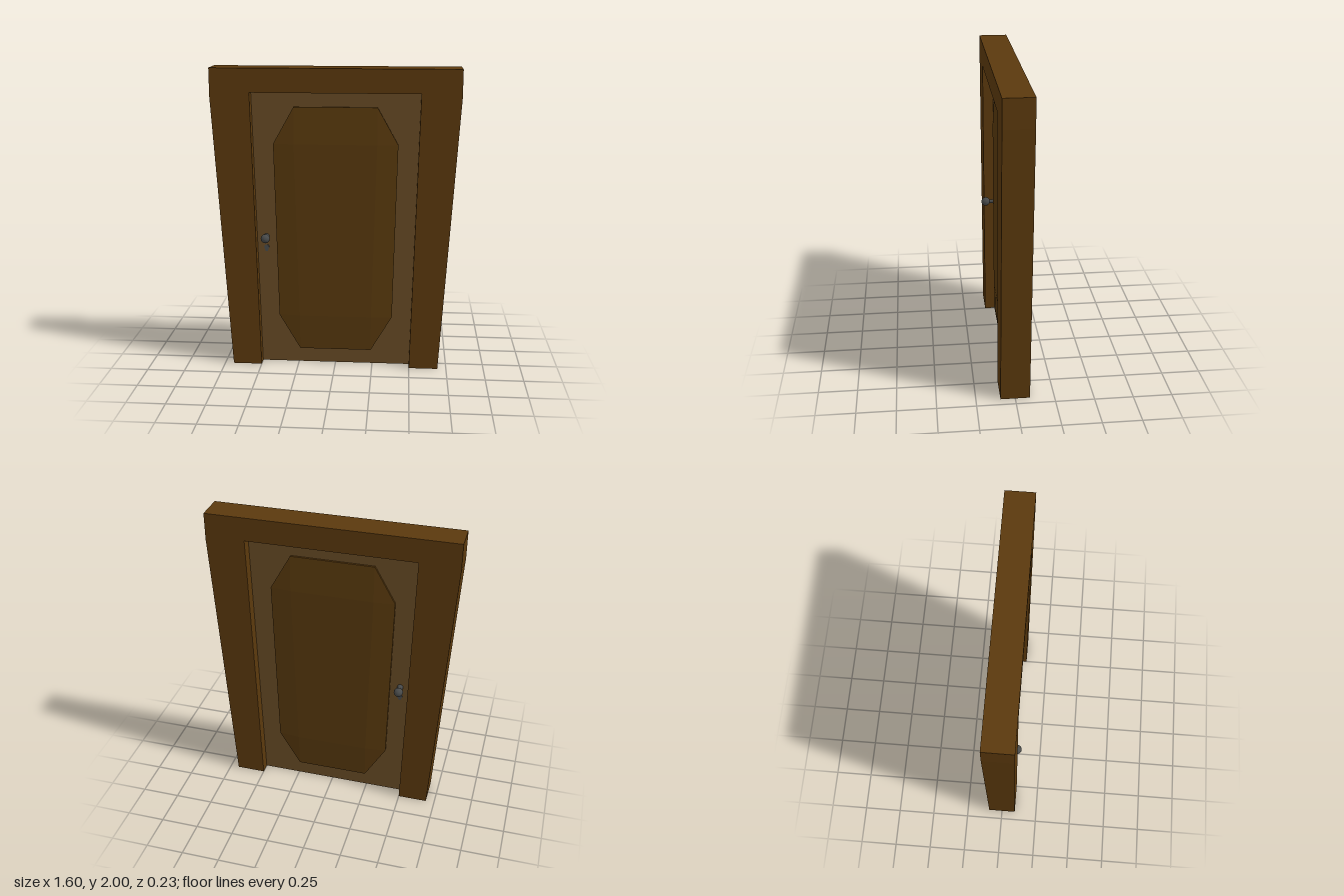
import * as THREE from 'three';

const DEPTH = 0.188; // frame depth
const DOOR = 0.05; // door thickness

const mat = (color) => new THREE.MeshStandardMaterial({ color, flatShading: true, roughness: 0.9 });
const frameMat = mat(0x5b390d), doorMat = mat(0x684b25), panelMat = mat(0x58390d);
const metalMat = new THREE.MeshStandardMaterial({ color: 0x484a4a });

const shapeOf = (pts) => new THREE.Shape(pts.map(([x, y]) => new THREE.Vector2(x, y)));

function slab(name, pts, depth, material) {
  const geo = new THREE.ExtrudeGeometry(shapeOf(pts), { depth, bevelEnabled: false });
  geo.translate(0, 0, -depth / 2);
  const mesh = new THREE.Mesh(geo, material);
  mesh.name = name;
  return mesh;
}

// Raised panel: eight-sided rim with a short wall, rising to a flat centre field
function panelGeometry() {
  const base = DOOR / 2, rim = base + 0.013, top = base + 0.026;
  const outline = [[0.38, 0.34], [0.405, 1.51], [0.27, 1.75], [-0.27, 1.75],
    [-0.405, 1.51], [-0.38, 0.34], [-0.24, 0.1], [0.24, 0.1]];
  const inner = [[0.24, 0.34], [0.27, 1.51], [-0.27, 1.51], [-0.24, 0.34]];
  const verts = [
    ...outline.map(([x, y]) => [x, y, base]),
    ...outline.map(([x, y]) => [x, y, rim]),
    ...inner.map(([x, y]) => [x, y, top]),
  ];
  const index = [];
  const quad = (a, b, c, d) => index.push(a, b, c, a, c, d);
  for (let i = 0; i < 8; i++) {
    const j = (i + 1) % 8;
    quad(i, j, 8 + j, 8 + i);
  }
  for (let k = 0; k < 4; k++) {
    const a = 8 + 2 * k, b = a + 1, c = 8 + ((2 * k + 2) % 8);
    const p = 16 + k, q = 16 + ((k + 1) % 4);
    quad(a, b, q, p); // sloped side
    index.push(b, c, q); // corner facet
  }
  quad(16, 17, 18, 19);
  const geo = new THREE.BufferGeometry();
  geo.setAttribute('position', new THREE.Float32BufferAttribute(verts.flat(), 3));
  geo.setIndex(index);
  const flat = geo.toNonIndexed();
  flat.computeVertexNormals();
  return flat;
}

// Knob turned on a lathe: rosette, neck and ball
function knobGeometry() {
  const pts = [[0.02, 0], [0.02, 0.008], [0.013, 0.014], [0.012, 0.035]];
  for (let i = 0; i <= 10; i++) {
    const a = -1.15 + (i / 10) * (Math.PI / 2 + 1.15);
    pts.push([0.03 * Math.cos(a), 0.062 + 0.03 * Math.sin(a)]);
  }
  const geo = new THREE.LatheGeometry(pts.map(([x, y]) => new THREE.Vector2(Math.max(x, 0), y)), 20);
  return geo.rotateX(Math.PI / 2);
}

// Keyhole plate: round top tapering to a small foot
function keyholeGeometry() {
  const s = new THREE.Shape();
  s.moveTo(-0.007, -0.025);
  s.lineTo(0.007, -0.025);
  s.lineTo(0.017, 0);
  s.absarc(0, 0.002, 0.017, 0, Math.PI, false);
  s.lineTo(-0.007, -0.025);
  return new THREE.ExtrudeGeometry(s, { depth: 0.006, bevelEnabled: false, curveSegments: 10 });
}

export function createModel() {
  const group = new THREE.Group();
  group.name = 'door';

  // Frame: tapered posts joined by the lintel
  group.add(slab('frame', [[0.5, 0], [0.692, 0], [0.8, 1.82], [0.8, 2], [-0.8, 2], [-0.8, 1.82],
    [-0.692, 0], [-0.5, 0], [-0.545, 1.845], [0.545, 1.845]], DEPTH, frameMat));

  // Door leaf filling the opening
  group.add(slab('doorLeaf', [[0.5, 0], [0.545, 1.845], [-0.545, 1.845], [-0.5, 0]], DOOR, doorMat));

  // Panel and fittings on both faces, with the handle on the same edge
  const panelGeo = panelGeometry(), knobGeo = knobGeometry(), keyGeo = keyholeGeometry();
  for (const [label, side] of [['front', 1], ['back', -1]]) {
    const face = new THREE.Group();
    face.name = label + 'Fittings';
    face.rotation.y = side > 0 ? 0 : Math.PI;
    const add = (name, geo, material, x, y, z) => {
      const mesh = new THREE.Mesh(geo, material);
      mesh.name = name;
      mesh.position.set(x, y, z);
      face.add(mesh);
    };
    add('panel', panelGeo, panelMat, 0, 0, 0);
    add('knob', knobGeo, metalMat, -0.46 * side, 0.885, DOOR / 2);
    add('keyholePlate', keyGeo, metalMat, -0.46 * side, 0.81, DOOR / 2);
    group.add(face);
  }
  return group;
}
